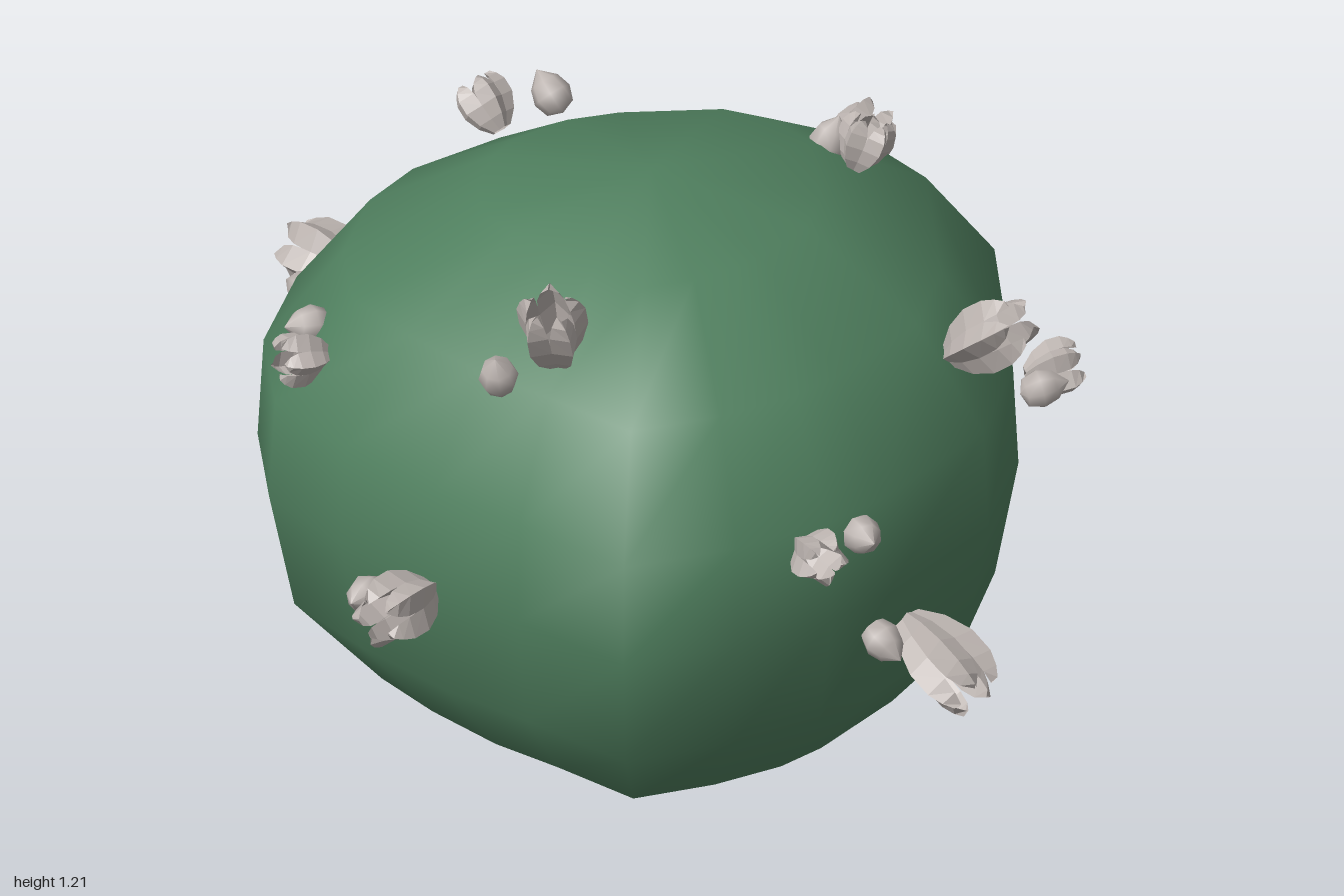
import * as THREE from 'three';

const green = new THREE.MeshStandardMaterial({ color: 0x50805f, side: THREE.DoubleSide });
green.name = 'leafGreen';
const petalGrey = new THREE.MeshStandardMaterial({ color: 0xbcb4b0, side: THREE.DoubleSide });
petalGrey.name = 'petalGrey';
const CX = -0.025, CZ = -0.06;

// Widest outline of the bush, as x, z pairs
const OUTLINE = [
  [0.75, 0.1], [0.73, 0.26], [0.65, 0.47], [0.52, 0.69], [0.23, 0.695], [0, 0.71],
  [-0.27, 0.685], [-0.51, 0.635], [-0.7, 0.45], [-0.82, 0.2], [-0.84, 0], [-0.77, -0.28],
  [-0.63, -0.49], [-0.28, -0.83], [-0.03, -0.91], [0.24, -0.86], [0.6, -0.5], [0.73, -0.25],
];
// Height and outline scale of each ring
const RINGS = [[0, 0.71], [0.21, 0.935], [0.48, 1], [0.71, 0.985], [0.935, 0.785], [1.105, 0.45]];

function meshGeometry(positions, index) {
  const g = new THREE.BufferGeometry();
  g.setAttribute('position', new THREE.Float32BufferAttribute(positions, 3));
  g.setIndex(index);
  g.computeVertexNormals();
  return g;
}

// Smooth hollow dome, open below, lofted through the rings to a single top point
function domeGeometry() {
  const n = OUTLINE.length, pos = [], idx = [];
  RINGS.forEach(([y, s]) => {
    OUTLINE.forEach(([x, z]) => pos.push(CX + (x - CX) * s, y, CZ + (z - CZ) * s));
  });
  const apex = RINGS.length * n;
  pos.push(-0.025, 1.165, -0.04);
  for (let i = 0; i < RINGS.length; i++) {
    for (let j = 0; j < n; j++) {
      const a = i * n + j, b = i * n + (j + 1) % n;
      if (i === RINGS.length - 1) idx.push(a, apex, b);
      else idx.push(a, a + n, b, b, a + n, b + n);
    }
  }
  return meshGeometry(pos, idx);
}

// Flower along +y, unit length: five deeply folded petals, [height, radius, half angle]
function flowerGeometry() {
  const rows = [[-0.48, 0.13, 0.63], [-0.27, 0.27, 0.66], [0, 0.36, 0.66], [0.25, 0.36, 0.6], [0.39, 0.31, 0.45], [0.48, 0.25, 0.05]];
  const pos = [], idx = [];
  for (let p = 0; p < 5; p++) {
    const mid = p * Math.PI * 2 / 5, start = pos.length / 3;
    rows.forEach(([y, r, half]) => {
      for (let c = -1; c <= 1; c++) {
        const a = mid + c * half, rr = c === 0 ? r : r * 0.7;
        pos.push(Math.sin(a) * rr, y, Math.cos(a) * rr);
      }
    });
    for (let i = 0; i < rows.length - 1; i++) {
      for (let c = 0; c < 2; c++) {
        const a = start + i * 3 + c;
        idx.push(a, a + 1, a + 3, a + 1, a + 4, a + 3);
      }
    }
  }
  const g = meshGeometry(pos, idx).toNonIndexed();
  g.computeVertexNormals();
  return g;
}

// Pointed bud along +y
function budGeometry() {
  const profile = [[0, -0.046], [0.032, -0.034], [0.043, -0.002], [0.033, 0.03], [0, 0.062]];
  return new THREE.LatheGeometry(profile.map(([x, y]) => new THREE.Vector2(x, y)), 8);
}

// Flower centre, direction, length, width factor, bud centre
const FLOWERS = [
  [[0.87, 0.355, 0.065], [0.9, -0.42, 0.1], 0.245, 0.245, [0.8, 0.42, 0.175]],
  [[0.71, 0.93, -0.265], [0.75, 0.6, -0.1], 0.23, 0.22, [0.645, 0.87, -0.365]],
  [[0.75, 0.68, 0.335], [0.85, 0.12, 0.35], 0.125, 0.175, [0.745, 0.66, 0.18]],
  [[0.18, 1.09, 0.52], [0.2, 0.88, 0.4], 0.22, 0.215, [0.105, 0.995, 0.61]],
  [[0.045, 0.52, 0.855], [0.12, 0.1, 1], 0.215, 0.225, [-0.08, 0.485, 0.82]],
  [[-0.45, 0.825, 0.595], [-0.35, 0.1, 0.75], 0.12, 0.175, [-0.51, 0.84, 0.5]],
  [[-0.91, 0.625, -0.015], [-1, 0.02, 0], 0.19, 0.235, [-0.85, 0.625, 0.11]],
  [[-0.675, 0.975, -0.265], [-0.7, 0.65, -0.05], 0.125, 0.175, [-0.55, 1.02, -0.33]],
  [[-0.58, 0.44, -0.71], [-0.65, 0.05, -0.6], 0.12, 0.175, [-0.455, 0.42, -0.755]],
  [[-0.165, 0.805, -0.87], [-0.1, 0.45, -0.85], 0.19, 0.2, [-0.26, 0.77, -0.81]],
  [[0.53, 0.595, -0.695], [0.5, 0.15, -0.7], 0.125, 0.18, [0.59, 0.62, -0.585]],
  [[0.17, 1.095, -0.5], [0.15, 0.85, -0.35], 0.12, 0.175, [0.09, 1.08, -0.48]],
];

export function createModel() {
  const model = new THREE.Group();
  model.name = 'floweringBush';
  const add = (name, geometry, material) => {
    const m = new THREE.Mesh(geometry, material);
    m.name = name;
    model.add(m);
    return m;
  };

  add('bushDome', domeGeometry(), green);

  const petals = flowerGeometry(), budShape = budGeometry();
  const up = new THREE.Vector3(0, 1, 0);
  FLOWERS.forEach(([centre, direction, length, width, budCentre], i) => {
    const dir = new THREE.Vector3(...direction).normalize();
    const flower = add('flower' + (i + 1), petals, petalGrey);
    flower.position.set(...centre);
    flower.quaternion.setFromUnitVectors(up, dir);
    flower.scale.set(width, length, width);
    const bud = add('bud' + (i + 1), budShape, petalGrey);
    bud.position.set(...budCentre);
    bud.quaternion.setFromUnitVectors(up, dir);
  });
  return model;
}
